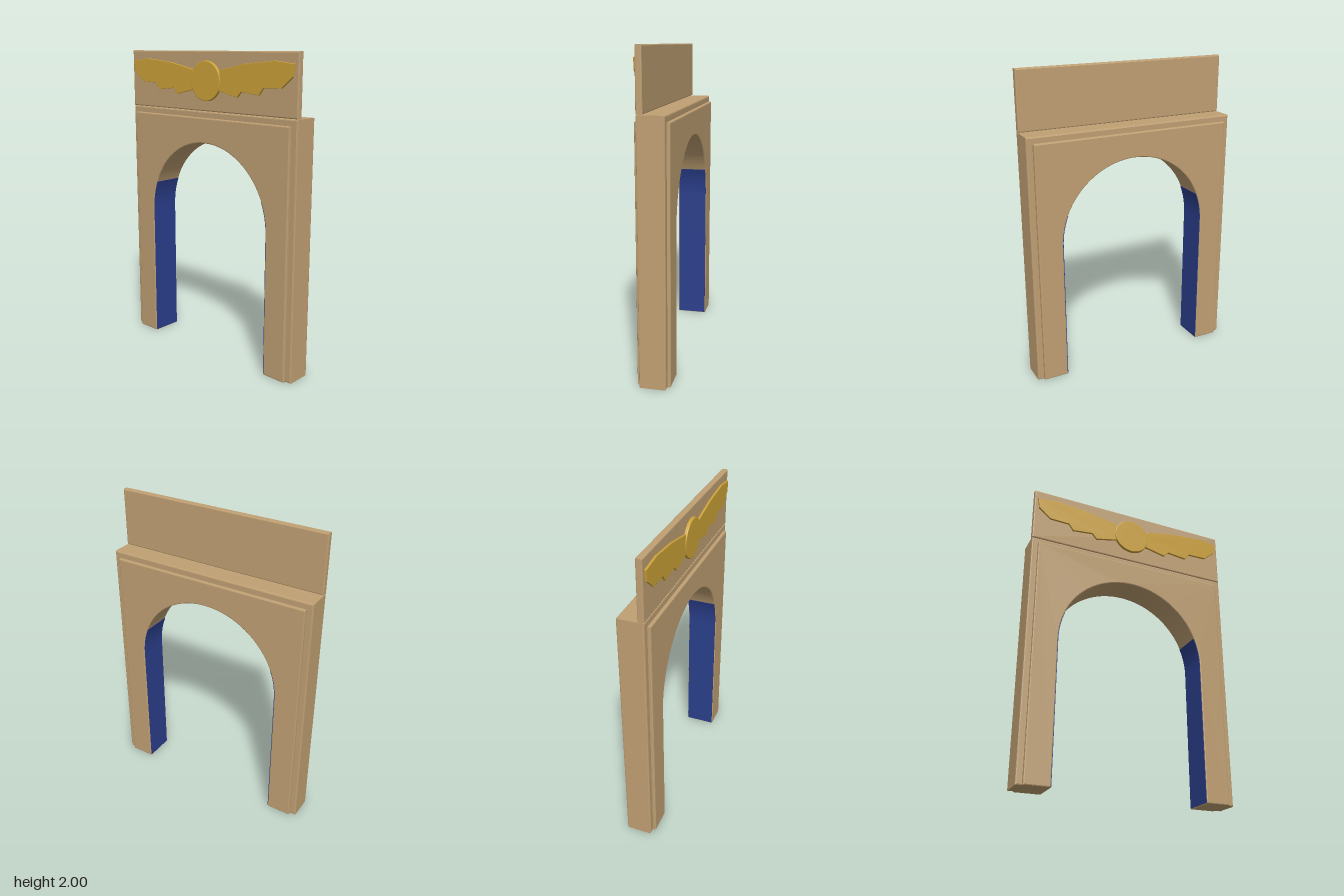
import * as THREE from 'three';

const material = (name, color, extra = {}) =>
  Object.assign(new THREE.MeshStandardMaterial({ color, ...extra }), { name });

const SPRING = 0.922; // height where the arch curve begins
const RADIUS = 0.503; // half width of the opening

// Bevelled slab cut from an outline, spanning z0..z1
function slab(name, shape, z0, z1, bevel, mat) {
  const geometry = new THREE.ExtrudeGeometry(shape, {
    depth: z1 - z0 - 2 * bevel,
    bevelEnabled: bevel > 0,
    bevelThickness: bevel,
    bevelSize: bevel,
    bevelOffset: -bevel,
    bevelSegments: 2,
    curveSegments: 48,
  });
  geometry.translate(0, 0, z0 + bevel);
  const mesh = new THREE.Mesh(geometry, mat);
  mesh.name = name;
  return mesh;
}

// Gateway outline: two legs joined over a round arch
function archShape(halfWidth, height, radius) {
  const s = new THREE.Shape();
  s.moveTo(-halfWidth, 0);
  s.lineTo(-radius, 0);
  s.lineTo(-radius, SPRING);
  s.absarc(0, SPRING, radius, Math.PI, 0, true);
  s.lineTo(radius, 0);
  s.lineTo(halfWidth, 0);
  s.lineTo(halfWidth, height);
  s.lineTo(-halfWidth, height);
  s.closePath();
  return s;
}

// Thin lining on the inside of one leg, following the start of the curve
function liningShape(side) {
  const pts = [];
  const inner = RADIUS - 0.003, outer = RADIUS + 0.003, sweep = Math.PI / 8;
  const at = (r, a) => new THREE.Vector2(side * r * Math.cos(a), SPRING + r * Math.sin(a));
  pts.push(new THREE.Vector2(side * inner, 0.004));
  for (let i = 0; i <= 8; i++) pts.push(at(inner, (sweep * i) / 8));
  for (let i = 8; i >= 0; i--) pts.push(at(outer, (sweep * i) / 8));
  pts.push(new THREE.Vector2(side * outer, 0.004));
  return new THREE.Shape(pts);
}

// Wing outline with stepped feathers along the lower edge
function wingShape(side) {
  const outline = [
    [0.06, 1.87], [0.116, 1.852], [0.116, 1.886], [0.323, 1.927], [0.545, 1.948],
    [0.683, 1.932], [0.673, 1.862], [0.593, 1.794], [0.46, 1.79], [0.429, 1.747],
    [0.291, 1.762], [0.259, 1.726], [0.122, 1.757], [0.06, 1.77],
  ];
  return new THREE.Shape(outline.map(([x, y]) => new THREE.Vector2(side * x, y)));
}

export function createModel() {
  const stone = material('sandstone', 0xc0a073);
  const gold = material('gold', 0xcda238);
  const blue = material('blue lining', 0x2b3f8c);
  const model = new THREE.Group();
  model.name = 'archway';

  // Main body, with its opening tucked behind the raised facing
  model.add(slab('body', archShape(0.705, 1.625, 0.52), -0.083, 0.083, 0.008, stone));

  // Raised facing through to both sides, forming the arch itself
  model.add(slab('facing', archShape(0.665, 1.585, RADIUS), -0.103, 0.103, 0.007, stone));

  // Upright panel above the front edge
  const panel = new THREE.Shape([
    new THREE.Vector2(-0.705, 1.627), new THREE.Vector2(0.705, 1.627),
    new THREE.Vector2(0.705, 2), new THREE.Vector2(-0.705, 2),
  ]);
  model.add(slab('topPanel', panel, 0.043, 0.083, 0.007, stone));

  // Winged disc
  const emblem = new THREE.Group();
  emblem.name = 'wingedDisc';
  const disc = new THREE.Shape();
  disc.absarc(0, 1.816, 0.124, 0, Math.PI * 2, false);
  emblem.add(slab('disc', disc, 0.078, 0.102, 0.005, gold));
  for (const side of [-1, 1]) {
    const label = side > 0 ? 'left' : 'right';
    emblem.add(slab(label + 'Wing', wingShape(side), 0.078, 0.096, 0.002, gold));
    model.add(slab(label + 'Lining', liningShape(side), -0.098, 0.098, 0, blue));
  }
  model.add(emblem);
  return model;
}
